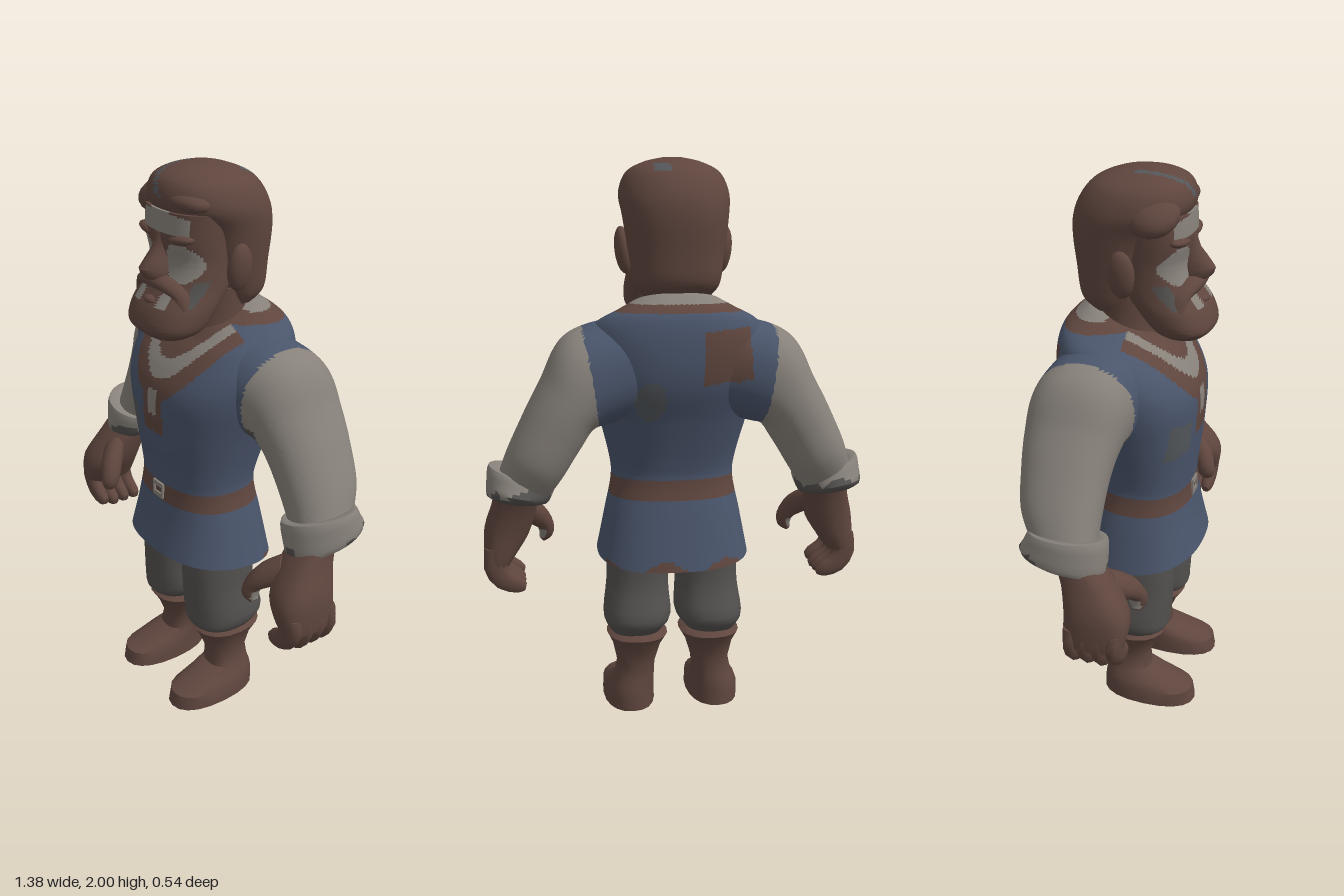
import * as THREE from 'three';
import { toCreasedNormals } from 'three/addons/utils/BufferGeometryUtils.js';

const mat = (name, color) => Object.assign(new THREE.MeshStandardMaterial({ color }), { name });
const MATS = [
  mat('leather and skin brown', 0x5f463e),
  mat('tunic blue', 0x4a556b),
  mat('linen', 0x87817a),
  mat('trouser grey', 0x53514f),
  mat('patch grey', 0x53575b),
];
const BROWN = 0, BLUE = 1, LINEN = 2, GREY = 3, PATCH = 4;

// Smooth closed skin through rings [x, y, angle in degrees, half width, zFront, zBack, tilt along z]
function loft(rings, { n = 24, steps = 4, p = 2, s = 1 }) {
  const rows = [], at = (i) => rings[Math.min(Math.max(i, 0), rings.length - 1)];
  for (let i = 0; i < rings.length - 1; i++) {
    for (let k = 0; k < steps; k++) {
      const t = k / steps;
      rows.push([0, 1, 2, 3, 4, 5, 6].map((c) => {
        const [a, b, d, e] = [-1, 0, 1, 2].map((o) => at(i + o)[c] ?? 0);
        return b + 0.5 * t * (d - a + t * (2 * a - 5 * b + 4 * d - e + t * (3 * (b - d) + e - a)));
      }));
    }
  }
  rows.push(at(rings.length));
  const pos = [], idx = [], pw = (v) => Math.sign(v) * Math.abs(v) ** (2 / p);
  for (const [cx, cy, deg, r, zf, zb, tilt = 0] of rows) {
    const a = deg * Math.PI / 180;
    for (let j = 0; j < n; j++) {
      const th = j / n * Math.PI * 2, u = r * pw(Math.cos(th)), w = (zf - zb) / 2 * pw(Math.sin(th));
      pos.push(s * (cx + u * Math.cos(a)), cy + u * Math.sin(a) + tilt * w, (zf + zb) / 2 + w);
    }
  }
  const last = rows.length - 1, c0 = rows.length * n;
  for (const [x, y, , , zf, zb] of [rows[0], rows[last]]) pos.push(s * x, y, (zf + zb) / 2);
  for (let j = 0; j < n; j++) {
    const k = (j + 1) % n;
    for (let i = 0; i < last; i++) {
      const a = i * n + j, b = i * n + k;
      idx.push(a, a + n, b, b, a + n, b + n);
    }
    idx.push(c0, j, k, c0 + 1, last * n + k, last * n + j);
  }
  // Turn all faces outward, whichever way the rings run
  const v = (i) => new THREE.Vector3().fromArray(pos, i * 3);
  let vol = 0;
  for (let i = 0; i < idx.length; i += 3) vol += v(idx[i]).dot(v(idx[i + 1]).cross(v(idx[i + 2])));
  if (vol < 0) idx.reverse();
  const g = new THREE.BufferGeometry();
  g.setAttribute('position', new THREE.Float32BufferAttribute(pos, 3));
  g.setIndex(idx);
  return toCreasedNormals(g, 0.85);
}

// Sort triangles into one geometry group per colour
function paint(geo, pick) {
  const P = geo.attributes.position.array, N = geo.attributes.normal.array;
  const bins = MATS.map(() => ({ p: [], n: [] }));
  for (let i = 0; i < P.length; i += 9) {
    const c = [0, 1, 2].map((k) => (P[i + k] + P[i + 3 + k] + P[i + 6 + k]) / 3);
    const bin = bins[pick(...c)];
    for (let k = i; k < i + 9; k++) { bin.p.push(P[k]); bin.n.push(N[k]); }
  }
  const out = new THREE.BufferGeometry();
  out.setAttribute('position', new THREE.Float32BufferAttribute(bins.flatMap((b) => b.p), 3));
  out.setAttribute('normal', new THREE.Float32BufferAttribute(bins.flatMap((b) => b.n), 3));
  let start = 0;
  bins.forEach((b, i) => {
    if (b.p.length) out.addGroup(start, b.p.length / 3, i);
    start += b.p.length / 3;
  });
  return out;
}

const inBox = (x, y, x0, x1, y0, y1) => x > x0 && x < x1 && y > y0 && y < y1;

function tunicColour(x, y, z) {
  const q = x * x;
  if (y > 0.82 && y < 0.89) return BROWN; // belt
  if (z > 0) {
    if (inBox(x, y, -0.026, 0.026, 1.16, 1.255)) return LINEN;
    if (inBox(x, y, -0.055, 0.055, 1.095, 1.29)) return BROWN;
    if (y > 1.2) {
      if (y > 1.357 + 6 * q) return BROWN;
      if (y > 1.293 + 5.5 * q) return LINEN;
      if (y > 1.215 + 4.5 * q) return BROWN;
    }
    if (inBox(x, y, -0.21, -0.1, 1.04 + 0.15 * (x + 0.2), 1.18 - 0.2 * (x + 0.2))) return PATCH;
    return BLUE;
  }
  if (y > 1.513) return LINEN;
  if (y > 1.486) return BROWN;
  if (z < -0.08) {
    if (inBox(x, y, -0.235, -0.065, 1.25 - 0.1 * (x + 0.15), 1.43 - 0.1 * (x + 0.15))) return BROWN;
    if (((x - 0.11) / 0.055) ** 2 + ((y - 1.185) / 0.07) ** 2 < 1) return PATCH;
    if (y < 0.585 + 0.02 * Math.sin(28 * x)) return BROWN;
  }
  return BLUE;
}

function faceColour(x, y, z) {
  const ax = Math.abs(x);
  if (z < 0.06) return BROWN;
  if (ax < 0.125 && y > 1.8 && y < 1.875 - 0.15 * ax) return LINEN; // forehead
  if (((ax - 0.088) / 0.058) ** 2 + ((y - 1.708) / 0.066) ** 2 < 1) return LINEN; // eye areas
  if (inBox(ax, y, 0.045, 0.085, 1.565, 1.61)) return LINEN; // beard flecks
  if (inBox(ax, y, 0.13, 0.15, 1.57, 1.65)) return GREY;
  return BROWN;
}

export function createModel() {
  const root = new THREE.Group();
  root.name = 'bearded villager';
  const part = (name, rings, colour, opts = {}) => {
    const geo = loft(rings, opts), painted = typeof colour === 'function';
    const m = new THREE.Mesh(painted ? paint(geo, colour) : geo, painted ? MATS : MATS[colour]);
    m.name = name;
    root.add(m);
  };
  const blob = (name, colour, c, r, turn = 0) => {
    const m = new THREE.Mesh(new THREE.SphereGeometry(1, 16, 10), MATS[colour]);
    m.name = name;
    m.position.set(...c);
    m.scale.set(...r);
    m.rotation.z = turn;
    root.add(m);
  };
  const plate = (name, colour, c, size) => {
    const m = new THREE.Mesh(new THREE.BoxGeometry(...size), MATS[colour]);
    m.name = name;
    m.position.set(...c);
    root.add(m);
  };

  // Tunic with belt, collar and patches
  part('tunic', [
    [0, 0.6, 0, 0.277, 0.245, -0.2, 0.136], [0, 0.75, 0, 0.247, 0.215, -0.165, 0.04],
    [0, 0.87, 0, 0.223, 0.2, -0.14], [0, 0.95, 0, 0.228, 0.205, -0.15],
    [0, 1.1, 0, 0.265, 0.22, -0.2], [0, 1.24, 0, 0.305, 0.222, -0.255],
    [0, 1.35, 0, 0.32, 0.185, -0.268, -0.1], [0, 1.435, 0, 0.29, 0.13, -0.25, -0.2],
    [0, 1.478, 0, 0.21, 0.09, -0.2, -0.3], [0, 1.505, 0, 0.155, 0.07, -0.165, -0.37],
  ], tunicColour, { n: 120, steps: 11, p: 2.4 });
  for (const y of [0.836, 0.878]) plate('buckle bar', LINEN, [0, y, 0.203], [0.06, 0.018, 0.009]);
  for (const x of [-0.026, 0.026]) plate('buckle side', LINEN, [x, 0.857, 0.203], [0.01, 0.05, 0.009]);
  part('pelvis', [[0, 0.57, 0, 0.14, 0.1, -0.07], [0, 0.66, 0, 0.22, 0.15, -0.12]], GREY, { steps: 1 });

  // Neck, head and beard
  part('neck', [[0, 1.4, 0, 0.14, 0.09, -0.15], [0, 1.5, 0, 0.125, 0.08, -0.145], [0, 1.6, 0, 0.125, 0.08, -0.14]], BROWN);
  part('hair', [
    [0, 1.535, 0, 0.12, -0.02, -0.15], [0, 1.58, 0, 0.148, 0, -0.195], [0, 1.68, 0, 0.165, 0.05, -0.21],
    [0, 1.8, 0, 0.182, 0.1, -0.222], [0, 1.88, 0, 0.19, 0.178, -0.207], [0, 1.95, 0, 0.162, 0.172, -0.158],
    [0, 1.985, 0, 0.1, 0.125, -0.085], [0, 2, 0, 0.035, 0.06, -0.02],
  ], (x, y, z) => (z > 0 && y > 1.91 && Math.abs(x + 0.03 + (y - 1.95) * 0.8) < 0.012) ||
    (z < -0.05 && inBox(x, y, 0.03, 0.08, 1.95, 1.975)) ? PATCH : BROWN, { n: 48, steps: 6, p: 2.2 });
  part('face and beard', [
    [0, 1.457, 0, 0.105, 0.235, 0.09], [0, 1.49, 0, 0.148, 0.262, 0.05], [0, 1.55, 0, 0.158, 0.245, 0],
    [0, 1.62, 0, 0.152, 0.198, -0.05], [0, 1.7, 0, 0.15, 0.172, -0.05], [0, 1.78, 0, 0.155, 0.185, -0.05],
    [0, 1.87, 0, 0.16, 0.18, -0.05],
  ], faceColour, { n: 72, steps: 9, p: 2.4 });
  part('nose', [
    [0, 1.8, 0, 0.03, 0.19, 0.12], [0, 1.75, 0, 0.027, 0.205, 0.12], [0, 1.685, 0, 0.044, 0.256, 0.12],
    [0, 1.65, 0, 0.042, 0.235, 0.12],
  ], BROWN, { n: 12, steps: 2 });
  blob('lower lip', BROWN, [0, 1.578, 0.21], [0.038, 0.015, 0.028]);
  blob('forelock', BROWN, [-0.118, 1.88, 0.075], [0.096, 0.058, 0.09], 0.5);
  blob('fringe', BROWN, [0.04, 1.91, 0.11], [0.13, 0.04, 0.07], -0.1);

  for (const s of [1, -1]) {
    const side = s > 0 ? 'left ' : 'right ';
    blob(side + 'ear', BROWN, [s * 0.176, 1.688, -0.012], [0.03, 0.082, 0.046], -s * 0.12);
    blob(side + 'eyebrow', BROWN, [s * 0.075, 1.785, 0.152], [0.07, 0.018, 0.033], s * 0.12);
    part(side + 'moustache', [
      [0, 1.64, 90, 0.026, 0.228, 0.16], [0.06, 1.634, 78, 0.026, 0.222, 0.14],
      [0.11, 1.608, 50, 0.021, 0.2, 0.12], [0.138, 1.565, 25, 0.008, 0.185, 0.13],
    ], BROWN, { n: 12, steps: 3, s });

    // Shoulder and sleeve, the yoke continuing the tunic
    part(side + 'sleeve', [
      [0.1, 1.3, 90, 0.165, 0.06, -0.225], [0.22, 1.282, 83, 0.176, 0.1, -0.252],
      [0.325, 1.25, 67, 0.168, 0.07, -0.272], [0.385, 1.175, 46, 0.126, 0.045, -0.275],
      [0.438, 1.085, 33, 0.115, 0.028, -0.268], [0.5, 0.97, 28, 0.107, 0.02, -0.25],
      [0.545, 0.88, 25, 0.095, 0.02, -0.2],
    ], (x, y, z) => {
      const ax = Math.abs(x);
      if (ax < 0.3 + 0.15 * (y - 1.2) && y > 1.1) return tunicColour(x, y, z);
      return ax < 0.345 && y < 1.18 && z > -0.1 ? GREY : LINEN;
    }, { n: 64, steps: 12, p: 2.2, s });
    part(side + 'cuff', [
      [0.54, 0.918, 18, 0.085, 0.02, -0.19], [0.545, 0.925, 17, 0.12, 0.057, -0.205],
      [0.555, 0.88, 15, 0.118, 0.062, -0.222, -0.09], [0.567, 0.833, 10, 0.104, 0.055, -0.23, -0.18],
      [0.57, 0.82, 8, 0.065, 0.02, -0.12],
    ], (x, y, z) => y < 0.855 + 0.018 * Math.sin(60 * z + 40 * x) - 0.18 * (z + 0.08) &&
      (Math.abs(x) < 0.58 || z < -0.08) ? GREY : LINEN, { n: 32, steps: 3, s });

    // Hand with curled fingers and thumb
    part(side + 'palm', [
      [0.565, 0.85, 12, 0.078, 0.03, -0.11], [0.578, 0.78, 8, 0.08, 0.09, -0.085],
      [0.605, 0.69, 8, 0.08, 0.15, -0.068], [0.63, 0.61, 5, 0.058, 0.15, -0.065],
      [0.64, 0.57, 0, 0.045, 0.135, -0.06],
    ], BROWN, { n: 20, steps: 3, p: 2.7, s });
    [-0.033, 0.016, 0.065, 0.113].forEach((z, i) => {
      const d = i === 3 ? 0.015 : 0;
      part(side + 'finger', [
        [0.638, 0.64, 0, 0.045, z + 0.029, z - 0.029], [0.646, 0.57 + d, -8, 0.044, z + 0.029, z - 0.029],
        [0.615, 0.52 + d, -45, 0.041, z + 0.027, z - 0.027], [0.565, 0.498 + d, -70, 0.03, z + 0.023, z - 0.023],
        [0.543, 0.492 + d, -75, 0.014, z + 0.012, z - 0.012],
      ], BROWN, { n: 10, steps: 2, p: 2.4, s });
    });
    part(side + 'thumb', [
      [0.56, 0.77, -40, 0.05, 0.09, 0.0], [0.5, 0.725, -40, 0.045, 0.145, 0.05],
      [0.462, 0.675, -12, 0.032, 0.168, 0.09], [0.46, 0.64, 20, 0.026, 0.168, 0.105],
      [0.475, 0.618, 45, 0.012, 0.15, 0.12],
    ], (x, y, z) => z < 0.155 && Math.abs(x) > 0.462 && y < 0.66 && y > 0.625 ? LINEN : BROWN, { n: 12, steps: 3, s });

    // Trouser leg gathered into the boot
    part(side + 'trouser leg', [
      [0.125, 0.68, 0, 0.115, 0.16, -0.1], [0.127, 0.57, 0, 0.116, 0.165, -0.098],
      [0.13, 0.47, 0, 0.114, 0.163, -0.1], [0.134, 0.36, 0, 0.124, 0.156, -0.132],
      [0.14, 0.315, 0, 0.105, 0.15, -0.11], [0.14, 0.29, 0, 0.085, 0.11, -0.09],
    ], GREY, { n: 24, steps: 3, p: 2.4, s });
    part(side + 'boot', [
      [0.135, 0.3, 0, 0.09, 0.12, -0.1], [0.135, 0.285, 0, 0.112, 0.14, -0.125],
      [0.137, 0.24, 0, 0.088, 0.11, -0.095], [0.14, 0.17, 0, 0.07, 0.082, -0.07],
      [0.147, 0.115, 0, 0.074, 0.09, -0.075], [0.156, 0.085, 0, 0.085, 0.17, -0.083],
      [0.16, 0.055, 0, 0.094, 0.258, -0.087], [0.16, 0, 0, 0.095, 0.268, -0.088],
    ], BROWN, { n: 20, steps: 1, p: 2.3, s });
  }
  return root;
}
